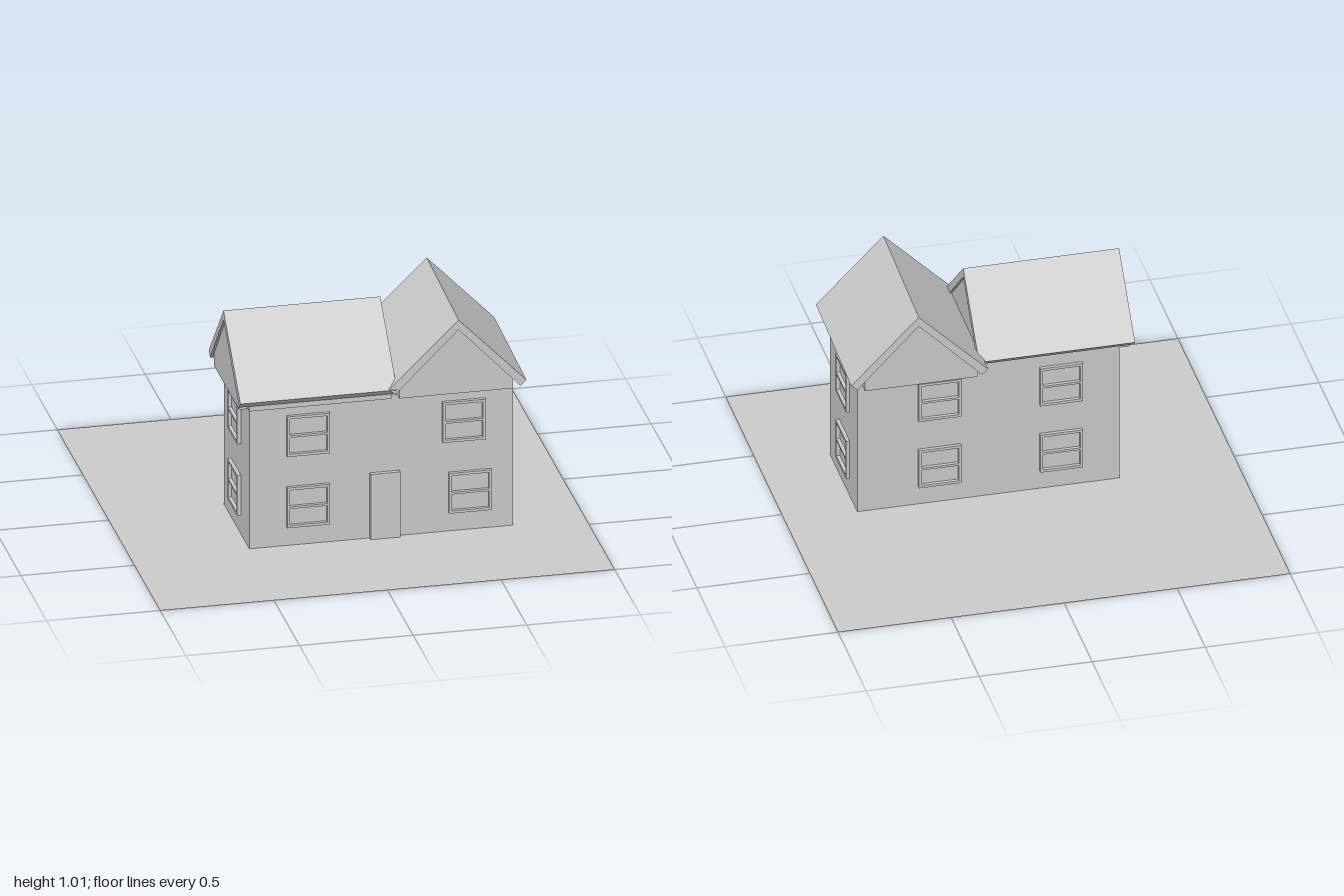
import * as THREE from 'three';

const grey = new THREE.MeshStandardMaterial({ color: 0xcccccc, flatShading: true });
const thin = new THREE.MeshStandardMaterial({ color: 0xcccccc, side: THREE.DoubleSide });

function add(parent, name, geometry, material = grey) {
  const mesh = new THREE.Mesh(geometry, material);
  mesh.name = name;
  parent.add(mesh);
  return mesh;
}

// Box given by its lower and upper corners
function box(parent, name, [x0, y0, z0], [x1, y1, z1]) {
  const mesh = add(parent, name, new THREE.BoxGeometry(x1 - x0, y1 - y0, z1 - z0));
  mesh.position.set((x0 + x1) / 2, (y0 + y1) / 2, (z0 + z1) / 2);
  return mesh;
}

// Polygon outline extruded from z0 to z1
function prism(points, z0, z1) {
  const shape = new THREE.Shape(points.map(([x, y]) => new THREE.Vector2(x, y)));
  return new THREE.ExtrudeGeometry(shape, { depth: z1 - z0, bevelEnabled: false }).translate(0, 0, z0);
}

function rectangle(PathType, x0, y0, x1, y1) {
  const p = new PathType();
  p.moveTo(x0, y0).lineTo(x1, y0).lineTo(x1, y1).lineTo(x0, y1).closePath();
  return p;
}

// Sash window frame with two panes, its back on z = 0
function windowGeometry() {
  const s = 0.094, f = 0.012, bar = 0.005;
  const frame = rectangle(THREE.Shape, -s, -s, s, s);
  frame.holes.push(
    rectangle(THREE.Path, -s + f, -s + f, s - f, -bar),
    rectangle(THREE.Path, -s + f, bar, s - f, s - f)
  );
  return new THREE.ExtrudeGeometry(frame, { depth: 0.016, bevelEnabled: false });
}

export function createModel() {
  const model = new THREE.Group();
  model.name = 'house';

  // Ground and walls
  add(model, 'ground', new THREE.PlaneGeometry(2, 2).rotateX(-Math.PI / 2), thin);
  box(model, 'walls', [-0.48, 0, -0.055], [0.68, 0.66, 0.435]);
  box(model, 'door', [0.05, 0, 0.43], [0.18, 0.305, 0.455]);

  // Long roof, ridge along x (outline drawn with x = -z, then turned)
  const longRoof = new THREE.Group();
  longRoof.name = 'longRoof';
  longRoof.rotation.y = Math.PI / 2;
  model.add(longRoof);
  add(longRoof, 'longRoofSlabs', prism([
    [-0.505, 0.712], [-0.48, 0.685], [-0.175, 0.967], [0.085, 0.68], [0.11, 0.705], [-0.175, 1.01]
  ], -0.535, 0.155));
  add(longRoof, 'longRoofGable', prism([
    [-0.435, 0.655], [0.055, 0.655], [0.055, 0.71], [-0.175, 0.965], [-0.435, 0.725]
  ], -0.525, 0.145));
  box(model, 'frontEave', [-0.49, 0.66, 0.43], [0.14, 0.688, 0.475]);

  // Wing roof, ridge along z, set slightly askew
  const wingRoof = add(model, 'wingRoofSlabs', prism([
    [-0.305, 0.715], [-0.278, 0.69], [0, 0.97], [0.27, 0.685], [0.297, 0.71], [0, 1.015]
  ], -0.345, 0.345));
  wingRoof.position.set(0.432, 0, 0.165);
  wingRoof.rotation.y = -0.022;
  add(model, 'wingGable', prism([
    [0.17, 0.66], [0.67, 0.66], [0.67, 0.715], [0.43, 0.965], [0.17, 0.705]
  ], -0.15, 0.48));

  // Windows on all four walls: [x, z, turn, lower x if different]
  const geometry = windowGeometry();
  const columns = [
    ['frontWindow', -0.222, 0.435, 0],
    ['frontWindow', 0.463, 0.435, 0, 0.49],
    ['backWindow', -0.22, -0.055, Math.PI],
    ['backWindow', 0.317, -0.055, Math.PI],
    ['leftWindow', 0.68, 0.175, Math.PI / 2],
    ['rightWindow', -0.48, 0.175, -Math.PI / 2]
  ];
  for (const [name, x, z, turn, lowerX = x] of columns) {
    for (const [px, y] of [[lowerX, 0.181], [x, 0.514]]) {
      const frame = add(model, name, geometry);
      frame.position.set(px, y, z);
      frame.rotation.y = turn;
    }
  }
  return model;
}
